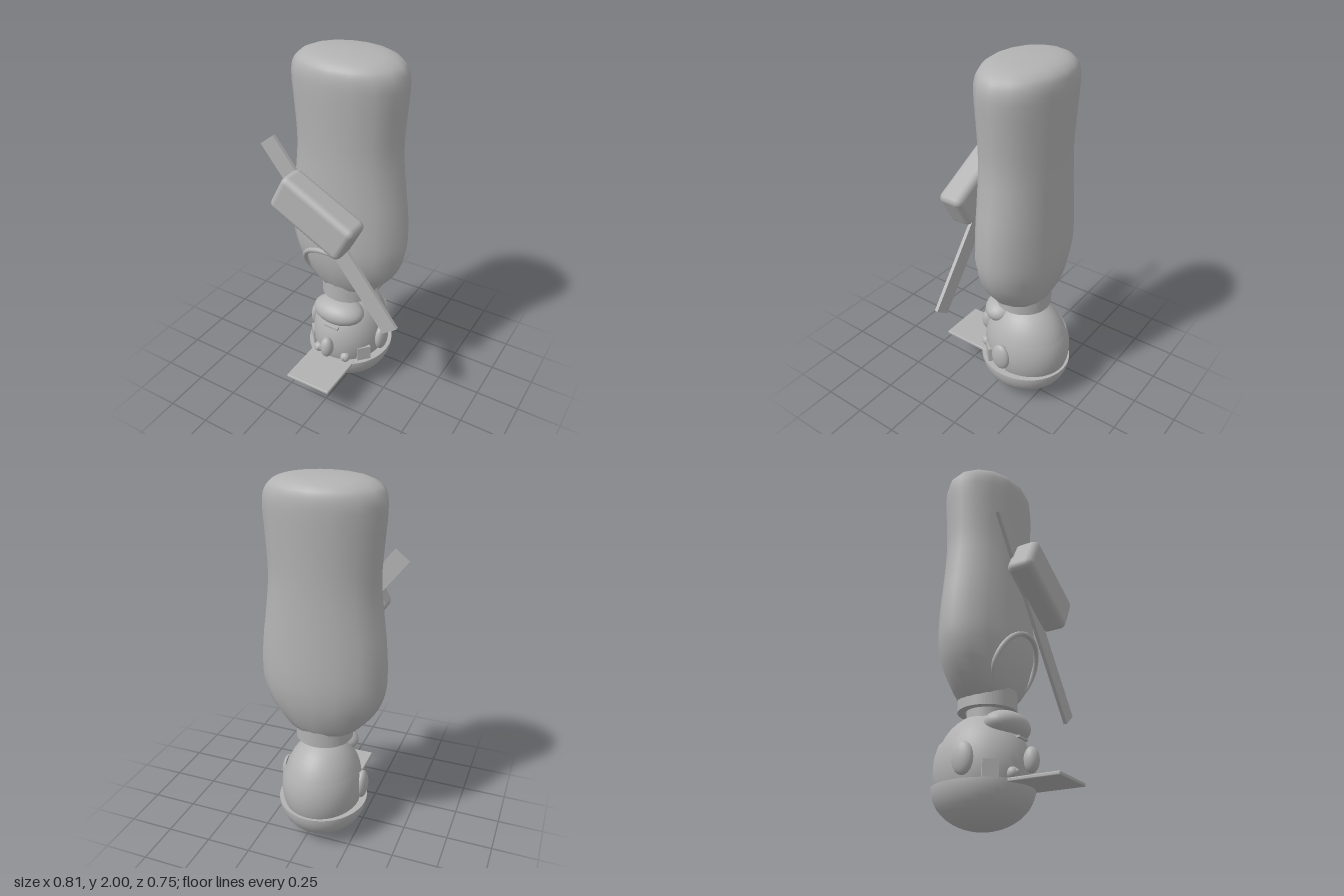
import * as THREE from 'three';
import { mergeVertices } from 'three/addons/utils/BufferGeometryUtils.js';
import { RoundedBoxGeometry } from 'three/addons/geometries/RoundedBoxGeometry.js';

const CX = -0.045; // symmetry line of the figure

export function createModel() {
  const group = new THREE.Group();
  const grey = new THREE.MeshStandardMaterial({ color: 0xb2b2b2 });
  grey.name = 'plain grey';
  const greyOpen = new THREE.MeshStandardMaterial({ color: 0xb2b2b2, side: THREE.DoubleSide });
  greyOpen.name = 'plain grey';

  const add = (name, geometry, x, y, z, material = grey) => {
    const mesh = new THREE.Mesh(geometry, material);
    mesh.name = name;
    mesh.position.set(x, y, z);
    group.add(mesh);
    return mesh;
  };
  const ellipsoid = (name, x, y, z, rx, ry, rz) =>
    add(name, new THREE.SphereGeometry(1, 32, 20).scale(rx, ry, rz), x, y, z);

  // Body: oval sections given as half width, height, half depth
  const sections = [
    [0.1, 0.615, 0.09], [0.17, 0.65, 0.135], [0.23, 0.7, 0.164], [0.3, 0.8, 0.197],
    [0.335, 0.9, 0.213], [0.343, 1.0, 0.217], [0.335, 1.15, 0.214], [0.315, 1.3, 0.21],
    [0.294, 1.5, 0.208], [0.303, 1.7, 0.215], [0.312, 1.85, 0.221], [0.304, 1.91, 0.218],
    [0.28, 1.95, 0.205], [0.22, 1.982, 0.163], [0.11, 1.996, 0.08], [0, 2, 0],
  ];
  const rows = new THREE.CatmullRomCurve3(sections.map((s) => new THREE.Vector3(...s))).getPoints(45);
  const lathe = new THREE.LatheGeometry(rows.map((p) => new THREE.Vector2(Math.max(p.x, 0), p.y)), 16);
  const pos = lathe.attributes.position;
  for (let i = 0; i < pos.count; i++) {
    const row = rows[i % rows.length];
    if (row.x > 1e-4) pos.setZ(i, pos.getZ(i) * row.z / row.x);
  }
  lathe.deleteAttribute('uv');
  lathe.deleteAttribute('normal');
  const bodyGeometry = mergeVertices(lathe, 1e-5);
  bodyGeometry.computeVertexNormals();
  add('body', bodyGeometry, CX, 0, -0.095, greyOpen);

  // Neck and collar
  add('neck', new THREE.CylinderGeometry(0.1, 0.1, 0.16, 32), CX, 0.6, -0.1);
  const collar = new THREE.Shape().absarc(0, 0, 0.155, 0, Math.PI * 2);
  collar.holes.push(new THREE.Path().absarc(0, 0, 0.115, 0, Math.PI * 2, true));
  add('collar', new THREE.ExtrudeGeometry(collar, { depth: 0.125, bevelEnabled: false, curveSegments: 32 })
    .rotateX(-Math.PI / 2), CX, 0.59, -0.091);

  // Tilted ring hanging from the collar
  const ring = add('neckRing', new THREE.TorusGeometry(0.182, 0.014, 10, 40), CX, 0.812, 0.07);
  ring.rotation.x = 0.483;

  // Strap and bag across the chest
  const strap = add('strap', new THREE.BoxGeometry(1.182, 0.1, 0.019), 0, 1.094, 0.174);
  strap.rotation.z = -0.908;
  const bag = add('bag', new RoundedBoxGeometry(0.46, 0.22, 0.148, 2, 0.036), CX, 1.245, 0.229);
  bag.rotation.z = -0.488;

  // Head, chin, mouth and nose
  ellipsoid('head', CX, 0.3, -0.115, 0.215, 0.284, 0.25);
  ellipsoid('chin', CX, 0.5, 0.025, 0.155, 0.078, 0.108);
  add('mouth', new THREE.BoxGeometry(0.09, 0.012, 0.03), CX, 0.43, 0.105);
  ellipsoid('nose', CX, 0.315, 0.162, 0.038, 0.066, 0.04);

  // Hair band round the back of the head
  add('backHair', new THREE.SphereGeometry(1, 24, 8, 0, Math.PI, 1.134, 0.8).scale(0.224, 0.284, 0.258)
    .rotateY(Math.PI), CX, 0.3, -0.117, greyOpen);

  // Paired eyes, pupils, ears and sideburns
  for (const side of [-1, 1]) {
    const label = side > 0 ? 'left' : 'right';
    ellipsoid(label + 'Eye', CX + side * 0.09, 0.238, 0.108, 0.029, 0.031, 0.029);
    ellipsoid(label + 'Pupil', CX + side * 0.088, 0.243, 0.133, 0.012, 0.014, 0.009);
    ellipsoid(label + 'Ear', CX + side * 0.222, 0.308, -0.09, 0.032, 0.083, 0.058);
    const sideburn = add(label + 'Sideburn', new THREE.BoxGeometry(0.03, 0.09, 0.08),
      CX + side * 0.167, 0.25, 0.03);
    sideburn.rotation.y = -side * 0.75;
  }

  // Cap: lower half dome with a closed rim, and a flat visor
  add('cap', new THREE.SphereGeometry(1, 40, 12, 0, Math.PI * 2, Math.PI / 2, Math.PI / 2)
    .scale(0.247, 0.205, 0.265), CX, 0.205, -0.11);
  add('capRim', new THREE.CircleGeometry(1, 40).rotateX(-Math.PI / 2).scale(0.247, 1, 0.265), CX, 0.205, -0.11);
  add('visor', new RoundedBoxGeometry(0.277, 0.02, 0.3, 2, 0.006), CX, 0.197, 0.228);

  return group;
}
